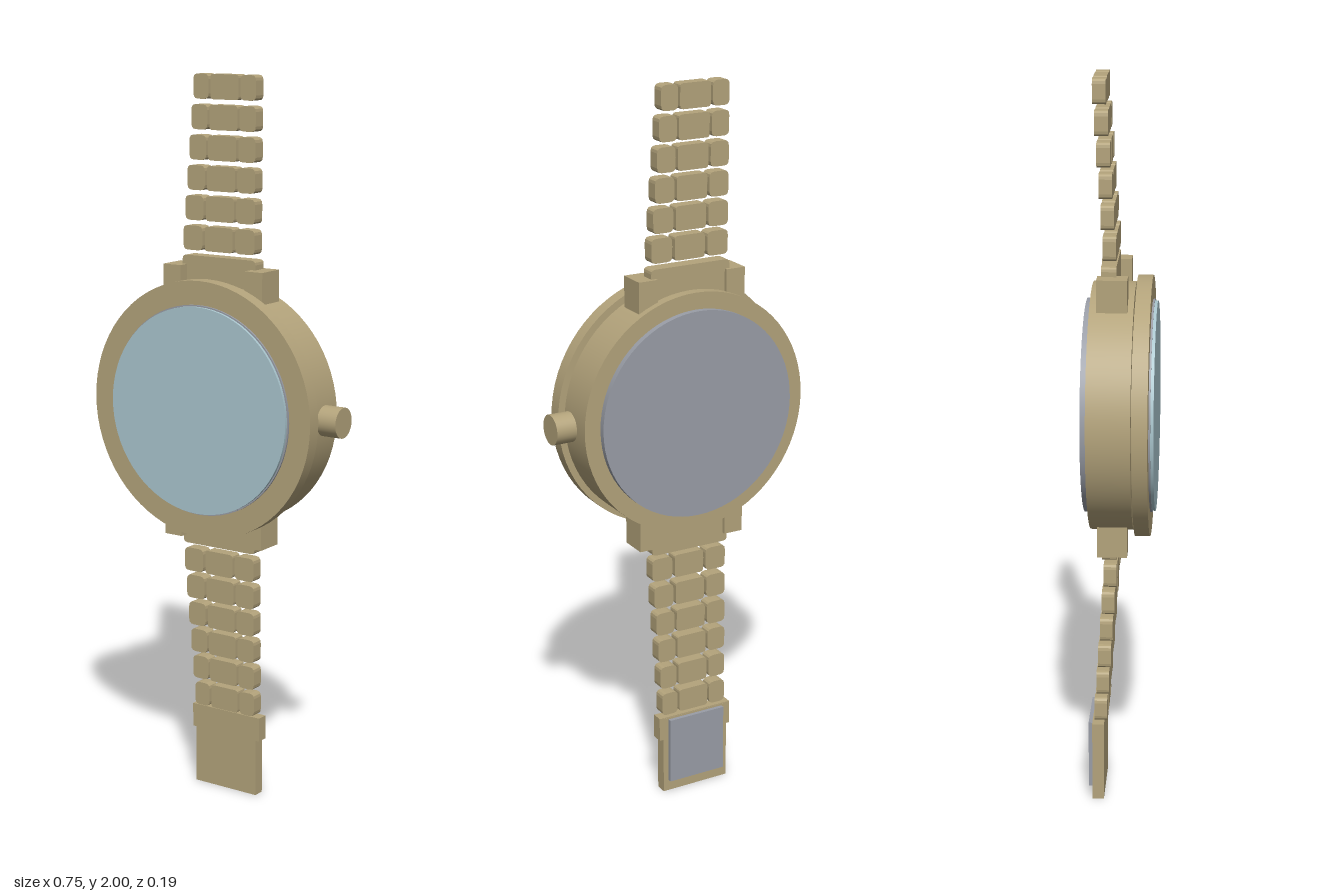
import * as THREE from 'three';

const CX = -0.024, CY = 1.118;   // centre of the watch head

export function createModel() {
  const gold = new THREE.MeshStandardMaterial({ color: 0xb3a37b });
  gold.name = 'brushed gold';
  const glass = new THREE.MeshStandardMaterial({ color: 0xaac6ce });
  glass.name = 'pale blue glass';
  const steel = new THREE.MeshStandardMaterial({ color: 0x999da6 });
  steel.name = 'grey steel';

  const model = new THREE.Group();
  model.name = 'wristwatch';

  const add = (parent, name, geometry, material, x = 0, y = 0, z = 0) => {
    const mesh = new THREE.Mesh(geometry, material);
    mesh.name = name;
    mesh.position.set(x, y, z);
    parent.add(mesh);
    return mesh;
  };
  // Disc facing the front, between two depths
  const disc = (name, r, z0, z1, material) => add(head, name,
    new THREE.CylinderGeometry(r, r, z1 - z0, 72).rotateX(Math.PI / 2), material, 0, 0, (z0 + z1) / 2);
  // Box given by its limits
  const box = (parent, name, x0, x1, y0, y1, z0, z1, material = gold) => add(parent, name,
    new THREE.BoxGeometry(x1 - x0, y1 - y0, z1 - z0), material, (x0 + x1) / 2, (y0 + y1) / 2, (z0 + z1) / 2);
  // Plate with rounded corners, centred on its origin
  const plate = (w, h, d, r) => {
    const s = new THREE.Shape(), a = w / 2, b = h / 2;
    s.moveTo(-a + r, -b);
    s.lineTo(a - r, -b).quadraticCurveTo(a, -b, a, -b + r);
    s.lineTo(a, b - r).quadraticCurveTo(a, b, a - r, b);
    s.lineTo(-a + r, b).quadraticCurveTo(-a, b, -a, b - r);
    s.lineTo(-a, -b + r).quadraticCurveTo(-a, -b, -a + r, -b);
    return new THREE.ExtrudeGeometry(s, { depth: d, bevelEnabled: false, curveSegments: 3 }).translate(0, 0, -d / 2);
  };

  // Watch head
  const head = new THREE.Group();
  head.name = 'watchHead';
  head.position.set(CX, CY, 0);
  model.add(head);
  disc('case', 0.333, -0.079, 0.036, gold);
  disc('caseNeck', 0.3, 0.03, 0.045, gold);
  disc('bezel', 0.35, 0.04, 0.08, gold);
  disc('glassRim', 0.286, 0.079, 0.085, steel);
  disc('glass', 0.282, 0.084, 0.093, glass);
  disc('caseBack', 0.287, -0.096, -0.078, steel);

  // Crown on its stem
  const rod = (r, length, sides) => new THREE.CylinderGeometry(r, r, length, sides).rotateZ(Math.PI / 2);
  add(head, 'crownStem', rod(0.023, 0.04, 24), gold, 0.326, 0, 0.01 - 0.018);
  add(head, 'crown', rod(0.041, 0.057, 32), gold, 0.3685, 0, -0.008);

  // Upper and lower bracelet halves, mirrored about the head
  for (const side of [1, -1]) {
    const strap = new THREE.Group();
    strap.name = side > 0 ? 'upperStrap' : 'lowerStrap';
    strap.position.set(CX, CY, 0);
    model.add(strap);

    for (const s of [-1, 1]) {
      add(strap, 'lug', new THREE.BoxGeometry(0.056, 0.09, 0.08), gold, s * 0.132, side * 0.332, -0.02);
    }
    add(strap, 'endLink', plate(0.236, 0.11, 0.04, 0.012), gold, 0, side * 0.347, -0.03);

    // Six rows of three links, narrowing and leaning back
    for (let i = 0; i < 6; i++) {
      const t = i / 5;
      const y = side * (0.449 + i * 0.08), z = -0.028 - 0.027 * t;
      const inner = 0.053 - 0.002 * t, outer = 0.115 - 0.015 * t;
      add(strap, 'middleLink', plate(0.09, 0.066, 0.035, 0.009), gold, 0, y, z);
      for (const s of [-1, 1]) {
        add(strap, 'sideLink', plate(outer - inner, 0.066, 0.035, 0.014), gold, s * (inner + outer) / 2, y, z);
      }
      add(strap, 'linkPin', rod(0.006, 0.13, 8), gold, 0, y, z);
    }
  }

  // Folding clasp at the lower end
  const clasp = new THREE.Group();
  clasp.name = 'clasp';
  model.add(clasp);
  box(clasp, 'claspBody', -0.128, 0.076, 0, 0.229, -0.079, -0.047);
  box(clasp, 'claspCollar', -0.138, 0.088, 0.163, 0.231, -0.078, -0.046);
  box(clasp, 'claspPlate', -0.112, 0.06, 0.032, 0.224, -0.09, -0.078, steel);

  return model;
}
